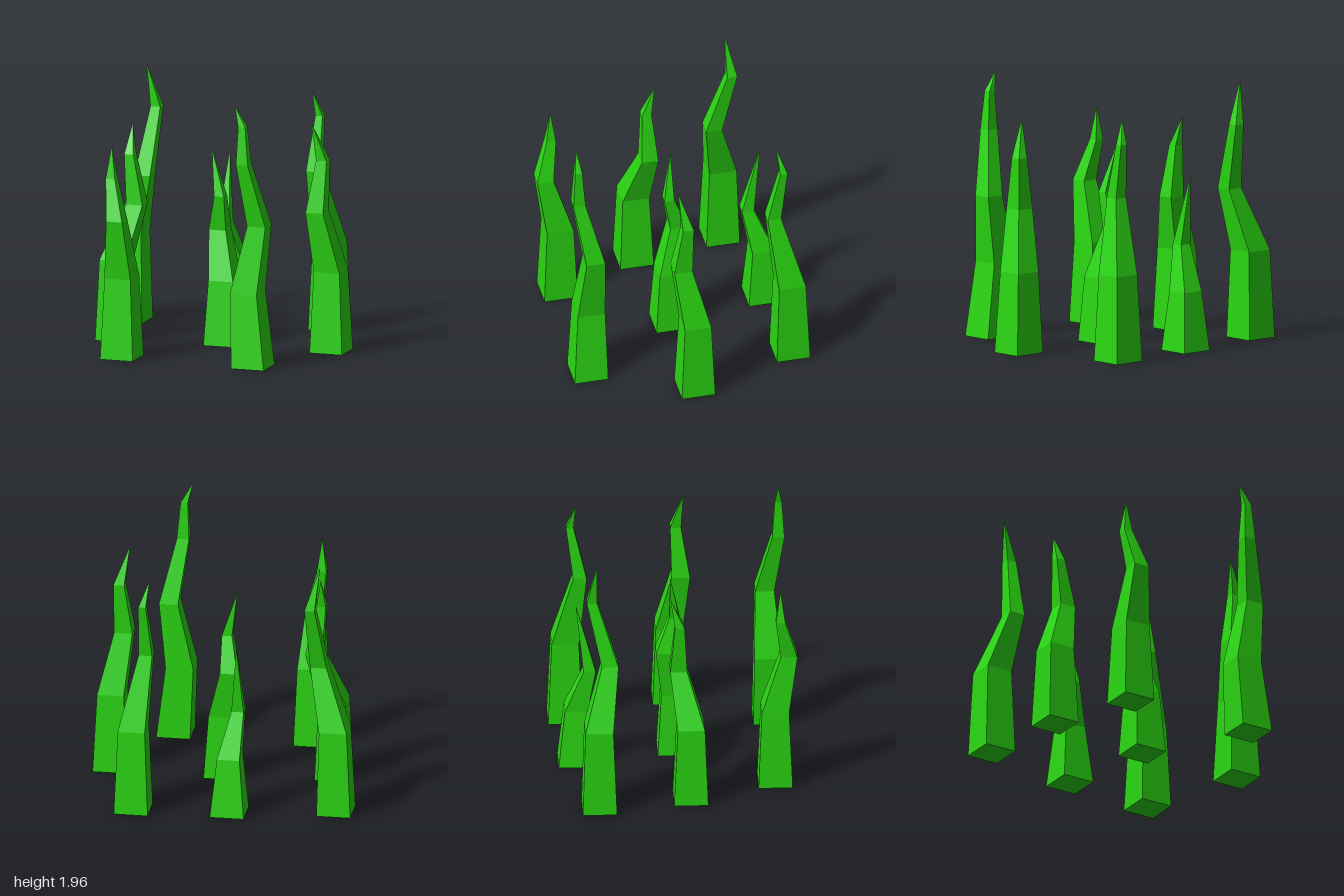
import * as THREE from 'three';

// Each blade: square cross-sections [x, y, z, width] from the ground to the tip.
const BLADES = {
  backLeftOuterBlade: [[0.595, 0, -0.762, 0.25], [0.595, 0.64, -0.76, 0.2], [0.515, 1.19, -0.655, 0.1], [0.532, 1.59, -0.727, 0.055], [0.485, 1.78, -0.685, 0]],
  backMiddleBlade: [[-0.108, 0, -0.717, 0.25], [-0.112, 0.44, -0.712, 0.167], [-0.16, 0.77, -0.615, 0.09], [-0.16, 1.3, -0.715, 0]],
  backRightBlade: [[-0.875, 0, -0.575, 0.25], [-0.868, 0.65, -0.578, 0.205], [-0.742, 1.11, -0.492, 0.122], [-0.692, 1.6, -0.622, 0.075], [-0.76, 1.92, -0.587, 0]],
  middleRightBlade: [[-0.755, 0, 0.098, 0.25], [-0.755, 0.6, 0.1, 0.2], [-0.628, 1, 0.015, 0.125], [-0.677, 1.37, 0.022, 0.07], [-0.68, 1.59, -0.045, 0]],
  centreBlade: [[0.053, 0, 0.015, 0.25], [0.05, 0.48, 0.012, 0.19], [-0.01, 0.84, -0.058, 0.13], [0.018, 1.1, 0.015, 0.075], [-0.06, 1.45, -0.018, 0]],
  middleLeftBlade: [[0.873, 0, 0.015, 0.25], [0.87, 0.6, 0.012, 0.198], [0.793, 1.05, 0.096, 0.135], [0.825, 1.43, 0.06, 0.08], [0.755, 1.71, 0.115, 0]],
  frontRightBlade: [[-0.5, 0, 0.727, 0.25], [-0.5, 0.6, 0.727, 0.2], [-0.505, 1.04, 0.828, 0.122], [-0.565, 1.34, 0.765, 0.07], [-0.565, 1.585, 0.765, 0]],
  frontLeftBlade: [[0.515, 0, 0.735, 0.25], [0.47, 0.55, 0.72, 0.205], [0.552, 1.05, 0.698, 0.14], [0.465, 1.52, 0.795, 0.09], [0.458, 1.8, 0.795, 0.053], [0.395, 1.955, 0.795, 0]],
};

// Corners run counter-clockwise as seen from above.
const CORNERS = [[-1, 1], [1, 1], [1, -1], [-1, -1]];

// Loft the squares into a closed, flat-faced spike.
function bladeGeometry(sections) {
  const pos = [];
  const rings = sections.map(([x, y, z, w]) =>
    CORNERS.map(([sx, sz]) => [x + sx * w / 2, y, z + sz * w / 2]));
  const tri = (a, b, c) => pos.push(...a, ...b, ...c);
  for (let i = 0; i < rings.length - 1; i++) {
    const lo = rings[i], hi = rings[i + 1];
    for (let k = 0; k < 4; k++) {
      const n = (k + 1) % 4;
      tri(lo[k], lo[n], hi[n]);
      if (i < rings.length - 2) tri(lo[k], hi[n], hi[k]);
    }
  }
  // underside
  const b = rings[0];
  tri(b[0], b[2], b[1]);
  tri(b[0], b[3], b[2]);
  const geo = new THREE.BufferGeometry();
  geo.setAttribute('position', new THREE.Float32BufferAttribute(pos, 3));
  geo.computeVertexNormals();
  return geo;
}

export function createModel() {
  const group = new THREE.Group();
  group.name = 'grassTuft';
  const green = new THREE.MeshStandardMaterial({ color: 0x2ad612, flatShading: true });
  for (const [name, sections] of Object.entries(BLADES)) {
    const blade = new THREE.Mesh(bladeGeometry(sections), green);
    blade.name = name;
    group.add(blade);
  }
  return group;
}
